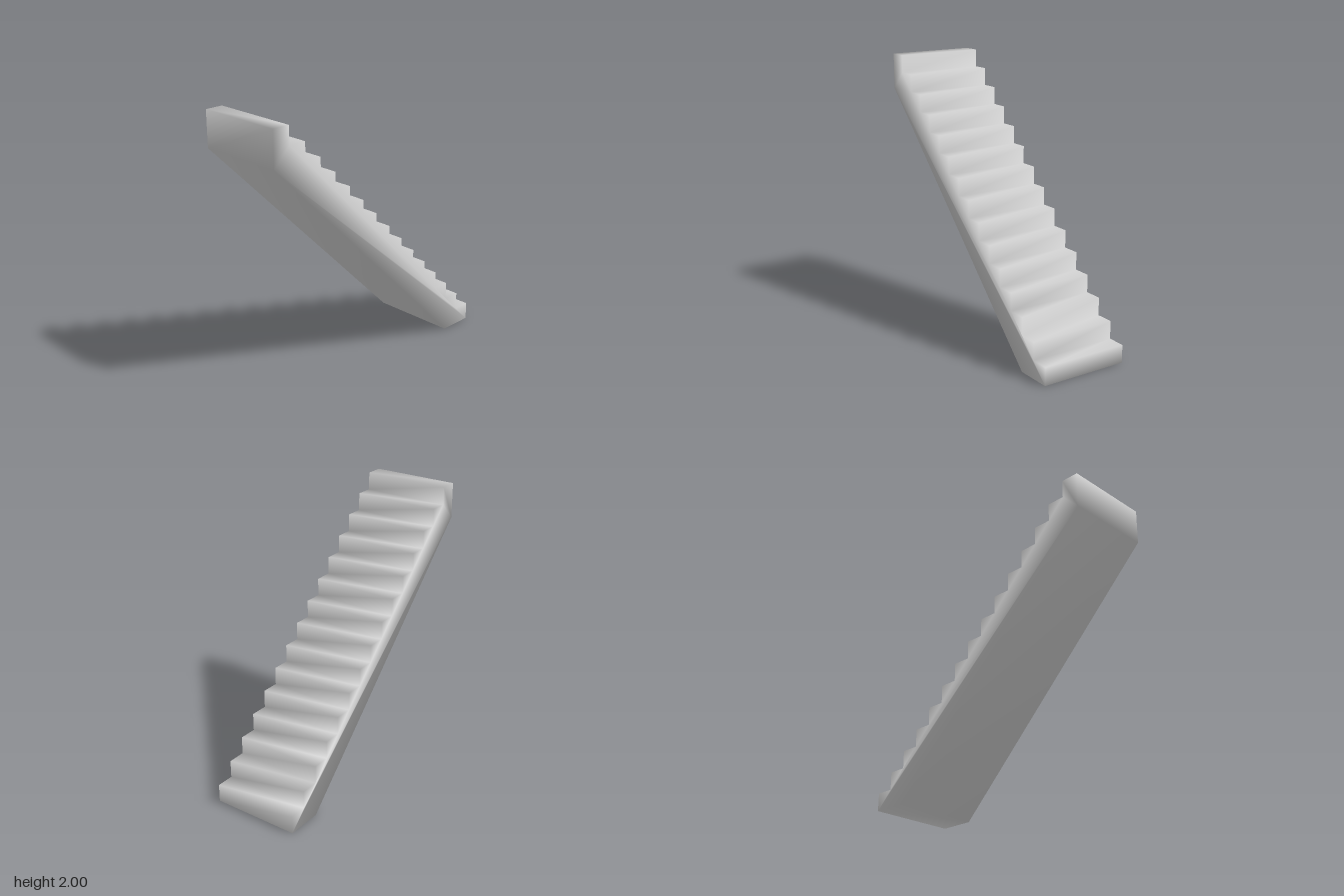
import * as THREE from 'three';
import { mergeVertices } from 'three/addons/utils/BufferGeometryUtils.js';

const STEPS = 15;
const SIZE = 2 / STEPS; // tread depth and riser height
const WIDTH = 0.667;

export function createModel() {
  const group = new THREE.Group();
  group.name = 'staircase';

  // Side profile: sloping underside, then the steps climbing towards -x
  const profile = new THREE.Shape();
  profile.moveTo(-1, 2 - 2 * SIZE);
  profile.lineTo(1 - 2 * SIZE, 0);
  profile.lineTo(1, 0);
  for (let i = 0; i < STEPS; i++) {
    const top = (i + 1) * SIZE;
    profile.lineTo(1 - i * SIZE, top); // riser
    profile.lineTo(1 - (i + 1) * SIZE, top); // tread
  }
  profile.closePath();

  // Solid flight with shared corners, so normals blend across the edges
  let geometry = new THREE.ExtrudeGeometry(profile, { depth: WIDTH, bevelEnabled: false });
  geometry.translate(0, 0, -WIDTH / 2);
  geometry.deleteAttribute('normal');
  geometry.deleteAttribute('uv');
  geometry = mergeVertices(geometry, 1e-4);
  geometry.computeVertexNormals();

  const flight = new THREE.Mesh(geometry, new THREE.MeshStandardMaterial({ color: 0xcccccc }));
  flight.name = 'stairFlight';
  group.add(flight);
  return group;
}
